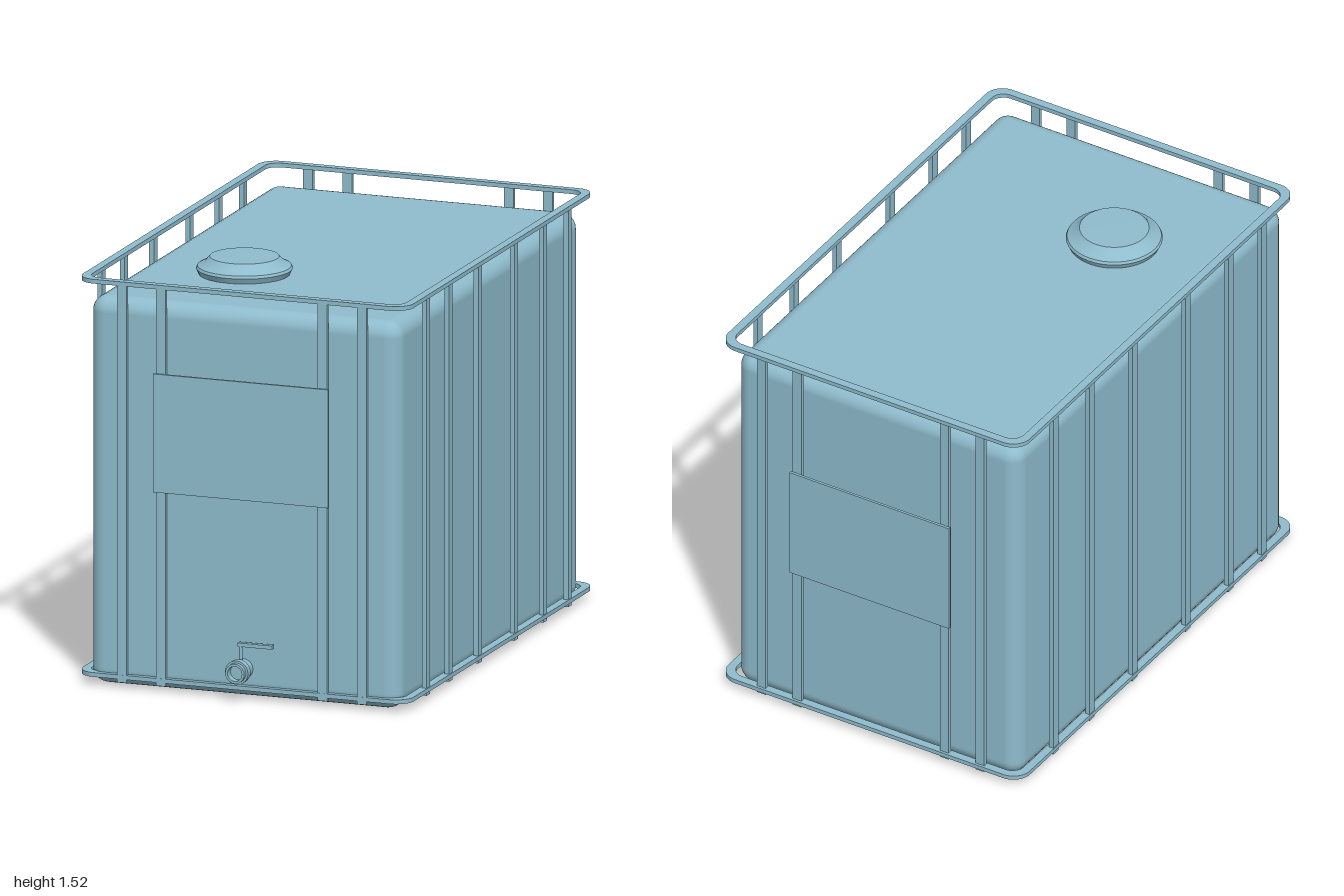
import * as THREE from 'three';
import { RoundedBoxGeometry } from 'three/addons/geometries/RoundedBoxGeometry.js';
import { toCreasedNormals } from 'three/addons/utils/BufferGeometryUtils.js';

const material = new THREE.MeshStandardMaterial({ color: 0x8fbccd });

function add(parent, name, geometry, x = 0, y = 0, z = 0) {
  const mesh = new THREE.Mesh(geometry, material);
  mesh.name = name;
  mesh.position.set(x, y, z);
  parent.add(mesh);
  return mesh;
}

// Rounded rectangle outline, half sizes w and d, corner radius r
function roundedOutline(path, w, d, r) {
  path.moveTo(w, -d + r);
  path.absarc(w - r, d - r, r, 0, Math.PI / 2);
  path.absarc(-w + r, d - r, r, Math.PI / 2, Math.PI);
  path.absarc(-w + r, -d + r, r, Math.PI, Math.PI * 1.5);
  path.absarc(w - r, -d + r, r, Math.PI * 1.5, Math.PI * 2);
  return path;
}

// Flat hoop running round the tank
function hoopGeometry() {
  const shape = roundedOutline(new THREE.Shape(), 0.645, 0.963, 0.07);
  shape.holes.push(roundedOutline(new THREE.Path(), 0.613, 0.931, 0.05));
  const geo = new THREE.ExtrudeGeometry(shape, { depth: 0.016, bevelEnabled: false, curveSegments: 8 });
  return toCreasedNormals(geo.rotateX(-Math.PI / 2), 0.6);
}

function lathe(profile, segments) {
  const points = profile.map(([r, y]) => new THREE.Vector2(r, y));
  return toCreasedNormals(new THREE.LatheGeometry(points, segments), 0.5);
}

export function createModel() {
  const model = new THREE.Group();
  model.name = 'cagedTank';

  // Tank body
  add(model, 'tank', new RoundedBoxGeometry(1.21, 1.455, 1.856, 4, 0.06), 0, 0.7275, -0.018);

  // Filler lid
  add(model, 'lid', lathe([
    [0.16, 1.44], [0.168, 1.458], [0.177, 1.476], [0.172, 1.486],
    [0.145, 1.5], [0.127, 1.52], [0, 1.522],
  ], 40), -0.197, 0, 0.385);

  // Cage
  const cage = new THREE.Group();
  cage.name = 'cage';
  model.add(cage);
  add(cage, 'topHoop', hoopGeometry(), 0, 1.508, -0.033);
  add(cage, 'bottomHoop', hoopGeometry(), 0, 0.032, -0.033);

  const barHeight = 1.49, barY = 0.02 + barHeight / 2;
  const endBar = new THREE.BoxGeometry(0.037, barHeight, 0.016);
  const sideBar = new THREE.BoxGeometry(0.018, barHeight, 0.035);
  for (const x of [-0.468, -0.315, 0.315, 0.468]) {
    add(cage, 'frontBar', endBar, x, barY, 0.921);
    add(cage, 'backBar', endBar, x, barY, -0.978);
  }
  for (const z of [0.703, 0.473, 0.176, -0.193, -0.49, -0.741]) {
    add(cage, 'leftBar', sideBar, 0.633, barY, z);
    add(cage, 'rightBar', sideBar, -0.633, barY, z);
  }

  // Blank plates on both ends
  const plate = new THREE.BoxGeometry(0.684, 0.444, 0.01);
  add(model, 'frontPlate', plate, 0, 0.97, 0.935);
  add(model, 'backPlate', plate, 0, 0.832, -0.991);

  // Outlet valve with a hollow mouth
  const valve = new THREE.Group();
  valve.name = 'valve';
  valve.position.set(0, 0.11, 0);
  model.add(valve);
  const outlet = lathe([
    [0.037, 0.89], [0.037, 0.955], [0.045, 0.955], [0.045, 0.982],
    [0.037, 0.982], [0.037, 1], [0.028, 1], [0.028, 0.97], [0, 0.97],
  ], 24).rotateX(Math.PI / 2);
  add(valve, 'outlet', outlet);
  add(valve, 'stem', new THREE.CylinderGeometry(0.007, 0.007, 0.07, 12), 0, 0.06, 0.938);
  add(valve, 'handle', new THREE.BoxGeometry(0.135, 0.014, 0.02), 0.059, 0.097, 0.938);

  return model;
}
